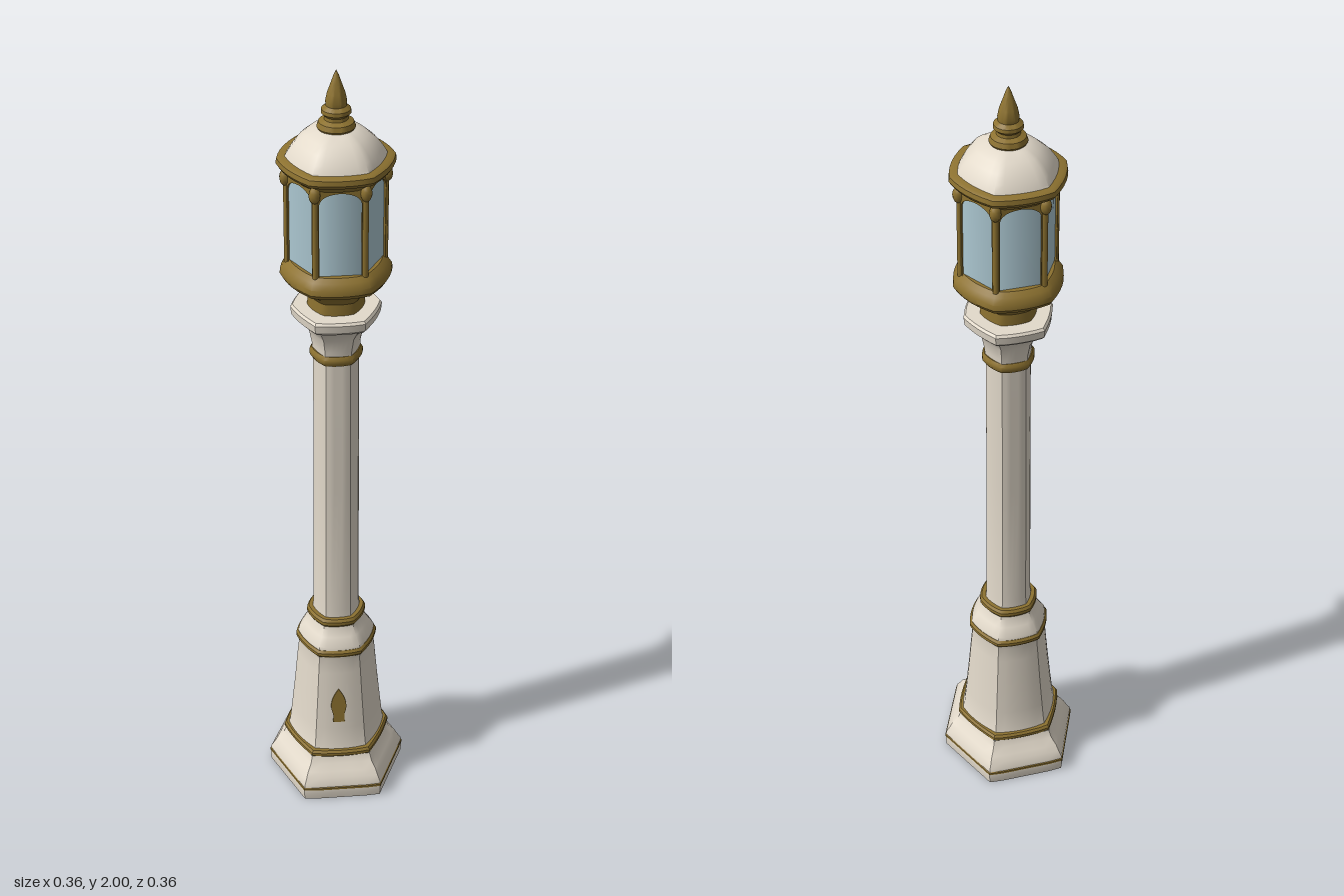
import * as THREE from 'three';
import { toCreasedNormals } from 'three/addons/utils/BufferGeometryUtils.js';

const SEG = 36;

// Outline radius: k = 0 is a circle, k = 1 a hexagon with corners on the x axis
function outline(angle, k) {
  const c = Math.abs(Math.cos(angle)), s = Math.abs(Math.sin(angle));
  return 1 + k * (1 / Math.max(s, c + 0.44 * s) - 1);
}

// Skin a profile of [radius, y] points, listed from bottom to top
function loft(profile, k) {
  const pos = [], index = [];
  for (const [r, y] of profile) {
    for (let j = 0; j < SEG; j++) {
      const a = (j / SEG) * Math.PI * 2, d = r * outline(a, k);
      pos.push(d * Math.cos(a), y, d * Math.sin(a));
    }
  }
  for (let i = 0; i < profile.length - 1; i++) {
    for (let j = 0; j < SEG; j++) {
      const n = (j + 1) % SEG;
      const a = i * SEG + j, b = i * SEG + n, c = a + SEG, d = b + SEG;
      index.push(a, c, b, b, c, d);
    }
  }
  const g = new THREE.BufferGeometry();
  g.setAttribute('position', new THREE.Float32BufferAttribute(pos, 3));
  g.setIndex(index);
  return toCreasedNormals(g, 0.6);
}

// Closed moulding with softened edges
function band(r, y0, y1) {
  const h = (y1 - y0) * 0.3;
  return [[r - 0.03, y0], [r - 0.005, y0], [r, y0 + h], [r, y1 - h], [r - 0.005, y1], [r - 0.03, y1]];
}

export function createModel() {
  const mat = (name, color) => {
    const m = new THREE.MeshStandardMaterial({ color });
    m.name = name;
    return m;
  };
  const cream = mat('cream', 0xe3dacb);
  const gold = mat('gold', 0x8d7230);
  const glass = mat('glass', 0xb0ccd6);

  const model = new THREE.Group();
  model.name = 'lampPost';
  const add = (name, geometry, material, parent = model) => {
    const m = new THREE.Mesh(geometry, material);
    m.name = name;
    parent.add(m);
    return m;
  };

  // Hollow foot, flared pedestal and shaft
  add('foot', loft([[0, 0.1], [0.115, 0.1], [0.135, 0.05], [0.165, 0], [0.176, 0], [0.178, 0.02],
    [0.176, 0.045], [0.166, 0.06], [0.158, 0.075], [0.142, 0.09], [0.134, 0.11]], 1), cream);
  add('footTrim', loft(band(0.179, 0.026, 0.04), 1), gold);
  add('pedestal', loft([[0.132, 0.11], [0.124, 0.135], [0.118, 0.19], [0.109, 0.28],
    [0.102, 0.36], [0.098, 0.4], [0.1, 0.415]], 0.5), cream);
  add('pedestalShoulder', loft([[0.1, 0.425], [0.098, 0.44], [0.083, 0.462], [0.072, 0.48], [0.068, 0.5]], 0.5), cream);
  add('shaft', loft([[0.062, 0.5], [0.059, 0.53], [0.057, 0.9], [0.056, 1.27]], 0.5), cream);
  add('capital', loft([[0.058, 1.27], [0.059, 1.3], [0.066, 1.335], [0.08, 1.36], [0.1, 1.372],
    [0.108, 1.38], [0.11, 1.4], [0.105, 1.406], [0, 1.406]], 0.65), cream);

  // Gold mouldings on the post
  add('pedestalLowerRing', loft(band(0.139, 0.106, 0.126), 0.7), gold);
  add('pedestalUpperRing', loft(band(0.105, 0.411, 0.432), 0.5), gold);
  add('shaftLowerRing', loft(band(0.076, 0.488, 0.511), 0.4), gold);
  add('shaftUpperRing', loft(band(0.065, 1.262, 1.288), 0.4), gold);

  // Small drop ornament on the front of the pedestal
  const drop = new THREE.Shape();
  drop.moveTo(-0.016, -0.05);
  drop.lineTo(0.016, -0.05);
  drop.quadraticCurveTo(0.012, -0.03, 0.018, -0.015);
  drop.quadraticCurveTo(0.026, 0.015, 0, 0.052);
  drop.quadraticCurveTo(-0.026, 0.015, -0.018, -0.015);
  drop.quadraticCurveTo(-0.012, -0.03, -0.016, -0.05);
  const ornament = add('frontOrnament',
    new THREE.ExtrudeGeometry(drop, { depth: 0.006, bevelEnabled: false }), gold);
  ornament.position.set(-0.004, 0.26, 0.108);
  ornament.rotation.x = -0.095;

  // Lantern
  const lantern = new THREE.Group();
  lantern.name = 'lantern';
  model.add(lantern);
  add('lanternBase', loft([[0.07, 1.4], [0.068, 1.435], [0.082, 1.452], [0.108, 1.472], [0.128, 1.482],
    [0.134, 1.492], [0.133, 1.506], [0.124, 1.52], [0.112, 1.53], [0, 1.53]], 0.4), gold, lantern);
  add('glassBody', new THREE.CylinderGeometry(0.115, 0.115, 0.25, 6, 1, true, Math.PI / 6)
    .translate(0, 1.64, 0), glass, lantern);
  add('lanternCornice', loft([[0, 1.748], [0.108, 1.748], [0.12, 1.762], [0.134, 1.768], [0.14, 1.777],
    [0.138, 1.789], [0.13, 1.793], [0.1, 1.793]], 0.4), gold, lantern);

  // Arched frame around every pane
  const frame = new THREE.Shape();
  frame.moveTo(-0.06, 1.515);
  frame.lineTo(0.06, 1.515);
  frame.lineTo(0.06, 1.76);
  frame.lineTo(-0.06, 1.76);
  const hole = new THREE.Path();
  hole.moveTo(-0.049, 1.527);
  hole.lineTo(-0.049, 1.715);
  hole.quadraticCurveTo(-0.045, 1.74, 0, 1.742);
  hole.quadraticCurveTo(0.045, 1.74, 0.049, 1.715);
  hole.lineTo(0.049, 1.527);
  frame.holes.push(hole);
  const frameGeo = new THREE.ExtrudeGeometry(frame, { depth: 0.006, bevelEnabled: false, curveSegments: 6 })
    .translate(0, 0, 0.098);
  const postGeo = new THREE.CylinderGeometry(0.008, 0.008, 0.25, 8).translate(0, 1.64, 0.115);
  const bracketGeo = new THREE.SphereGeometry(0.014, 10, 8).scale(1, 1.5, 1).translate(0, 1.74, 0.118);
  for (let i = 0; i < 6; i++) {
    const a = (i * Math.PI) / 3;
    add('paneFrame', frameGeo, gold, lantern).rotation.y = a;
    add('cornerPost', postGeo, gold, lantern).rotation.y = a + Math.PI / 6;
    add('cornerBracket', bracketGeo, gold, lantern).rotation.y = a + Math.PI / 6;
  }

  // Domed roof and finial
  add('roof', loft([[0.121, 1.788], [0.117, 1.797], [0.108, 1.812], [0.094, 1.83], [0.075, 1.846],
    [0.052, 1.857], [0.03, 1.862], [0, 1.863]], 0.5), cream, lantern);
  add('finial', loft([[0.04, 1.855], [0.045, 1.864], [0.041, 1.876], [0.028, 1.882], [0.027, 1.89],
    [0.035, 1.898], [0.034, 1.907], [0.024, 1.915], [0.025, 1.925], [0.021, 1.945],
    [0.012, 1.97], [0.006, 1.988], [0, 2]], 0), gold, lantern);

  return model;
}
